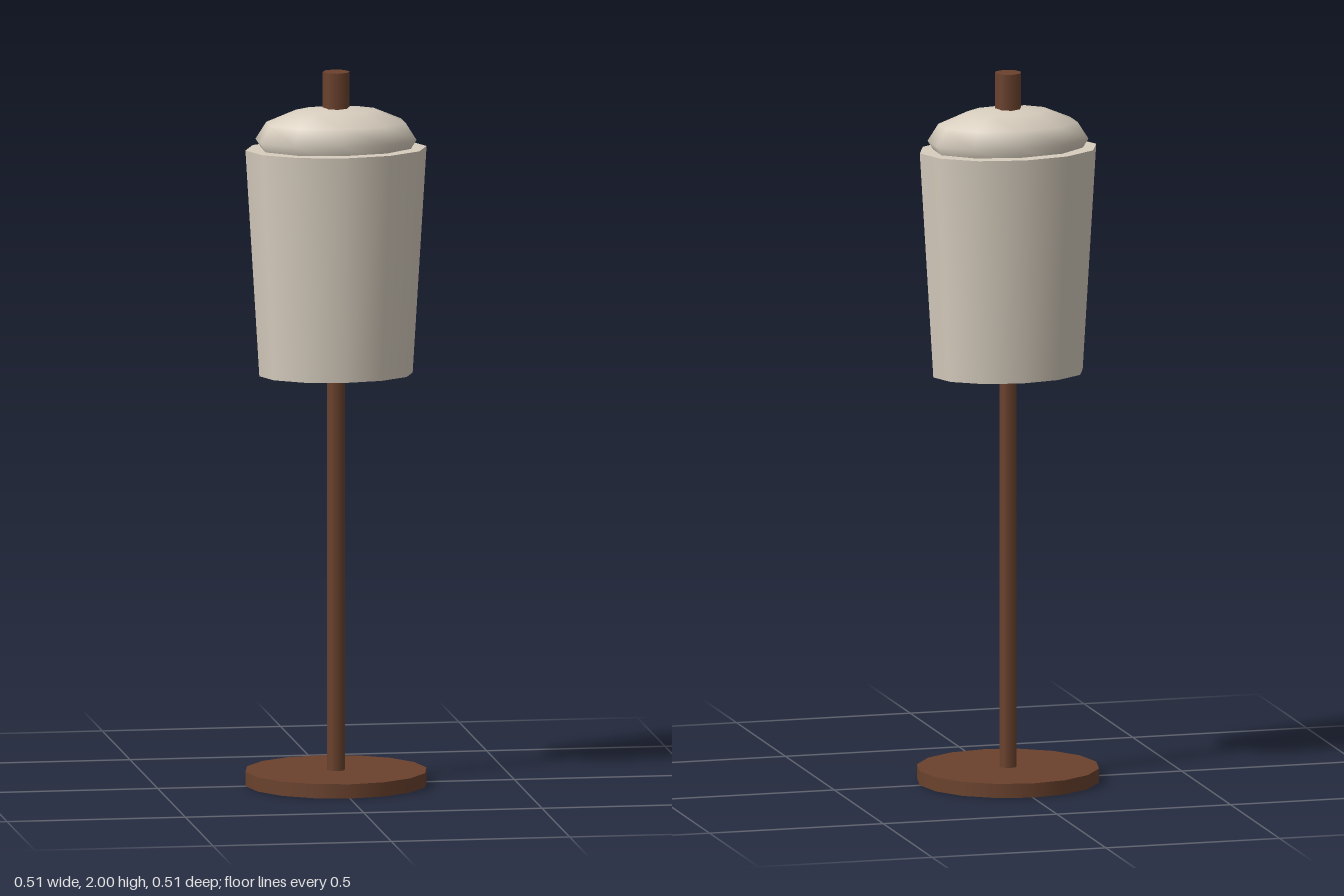
import * as THREE from 'three';

export function createModel() {
  const group = new THREE.Group();
  const wood = new THREE.MeshStandardMaterial({ color: 0x6b422d });
  wood.name = 'brown wood';
  const linen = new THREE.MeshStandardMaterial({ color: 0xd8cebf });
  linen.name = 'cream linen';

  const add = (name, geometry, material) => {
    const mesh = new THREE.Mesh(geometry, material);
    mesh.name = name;
    group.add(mesh);
    return mesh;
  };
  // Upright cylinder given by its bottom and top heights
  const column = (name, rTop, rBottom, y0, y1, sides, material) => {
    const mesh = add(name, new THREE.CylinderGeometry(rTop, rBottom, y1 - y0, sides), material);
    mesh.position.y = (y0 + y1) / 2;
    return mesh;
  };

  // Stand
  column('base', 0.254, 0.254, 0, 0.04, 16, wood);
  column('pole', 0.025, 0.025, 0.04, 1.16, 8, wood);

  // Oval tapered torso
  column('torso', 0.254, 0.215, 1.15, 1.785, 12, linen).scale.z = 0.7;

  // Flattened shoulder dome, with a facet corner facing front and back
  const dome = new THREE.SphereGeometry(1, 10, 6, Math.PI / 2);
  dome.scale(0.23, 0.095, 0.149);
  add('shoulders', dome, linen).position.y = 1.81;

  // Neck cap
  column('neck', 0.038, 0.038, 1.86, 2, 8, wood);

  return group;
}
